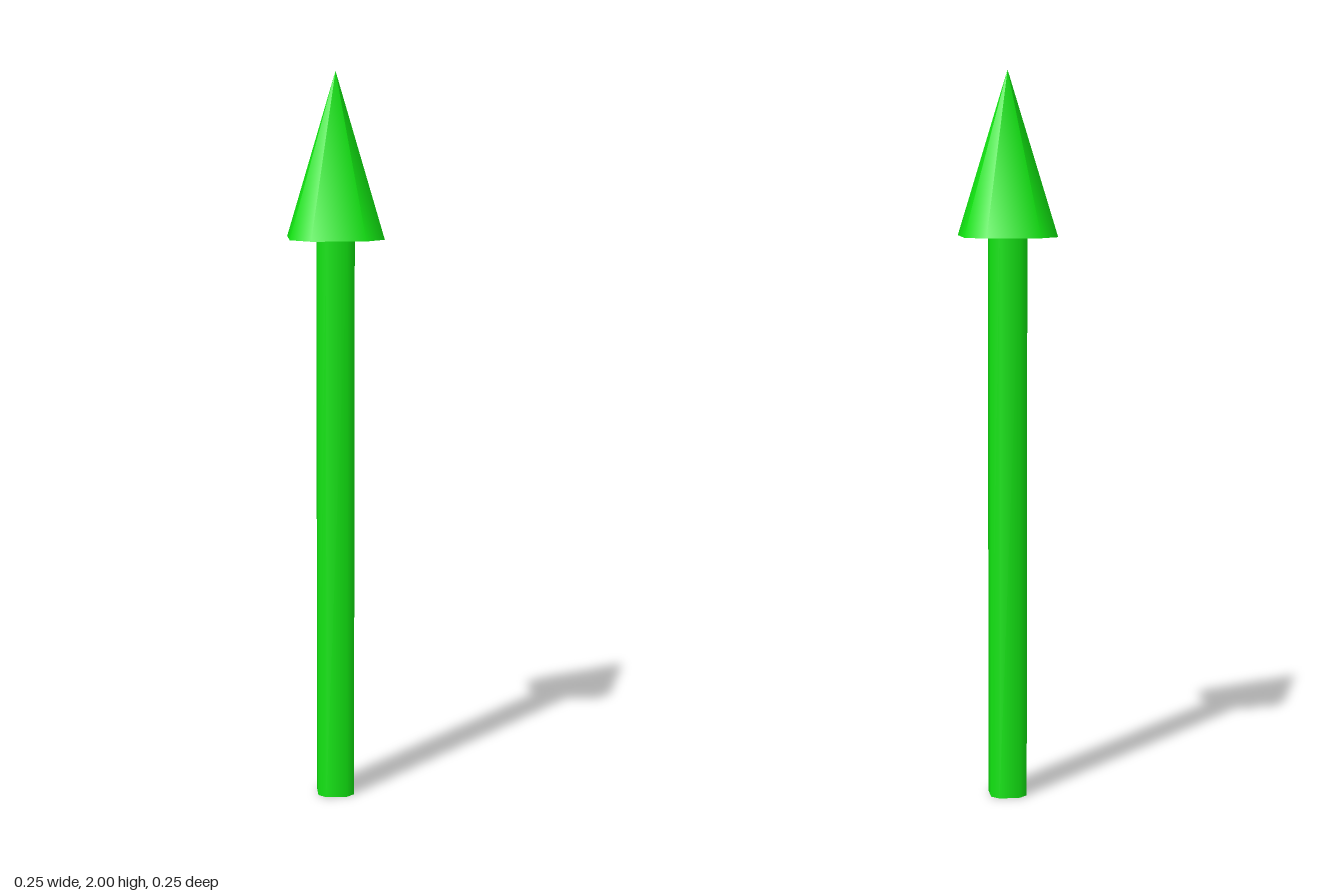
import * as THREE from 'three';

// Eight-sided cylinder or cone whose corners sit at 30 and 60 degrees in each quadrant
function chamferedColumn(topRadius, bottomRadius, height, baseY) {
  const geometry = new THREE.CylinderGeometry(topRadius, bottomRadius, height, 8, 1, false, Math.PI / 8);
  const p = geometry.attributes.position;
  const snap = (v, r) => Math.sign(v) * r * (Math.abs(v) > r * 0.7 ? Math.cos(Math.PI / 6) : 0.5);
  for (let i = 0; i < p.count; i++) {
    const x = p.getX(i), z = p.getZ(i), r = Math.hypot(x, z);
    if (r > 1e-5) p.setXYZ(i, snap(x, r), p.getY(i), snap(z, r));
  }
  geometry.translate(0, baseY + height / 2, 0);
  return geometry;
}

export function createModel() {
  const group = new THREE.Group();
  group.name = 'arrow';
  const green = new THREE.MeshStandardMaterial({ color: 0x11e611 });
  const headBase = 1.555;

  // Straight shaft standing on the ground
  const shaft = new THREE.Mesh(chamferedColumn(0.0577, 0.0577, headBase, 0), green);
  shaft.name = 'shaft';

  // Pointed head with a flat underside
  const head = new THREE.Mesh(chamferedColumn(0, 0.1467, 2 - headBase, headBase), green);
  head.name = 'arrowHead';

  group.add(shaft, head);
  return group;
}
